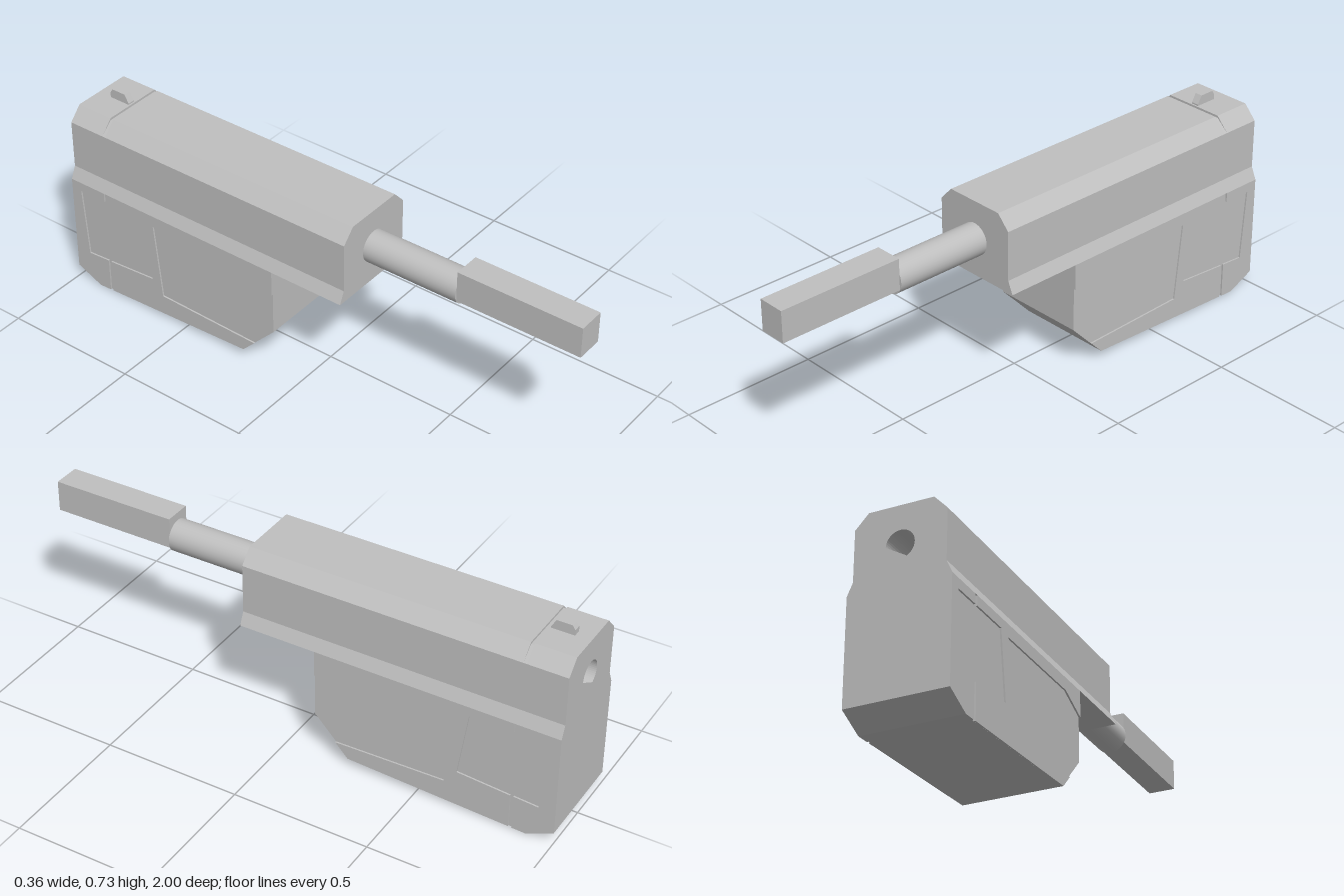
import * as THREE from 'three';

const grey = new THREE.MeshStandardMaterial({ color: 0xbfbfbf });
grey.name = 'plain grey';

const toShape = (pts) => new THREE.Shape(pts.map(([a, b]) => new THREE.Vector2(a, b)));

// Extrudes an (x, y) outline from z0 to z1
function alongZ(shape, z0, z1) {
  const g = new THREE.ExtrudeGeometry(shape, { depth: z1 - z0, bevelEnabled: false, curveSegments: 24 });
  return g.translate(0, 0, z0);
}

// Extrudes a (z, y) outline from x0 to x1
function alongX(shape, x0, x1) {
  const g = new THREE.ExtrudeGeometry(shape, { depth: x1 - x0, bevelEnabled: false });
  return g.rotateY(-Math.PI / 2).translate(x1, 0, 0);
}

// Symmetric cross-section of the upper housing
function upperProfile(top) {
  const half = [[0.18, 0.42], [0.16, 0.465], [0.16, 0.645], [0.113, top]];
  return toShape([...half, ...half.map(([x, y]) => [-x, y]).reverse()]);
}

export function createModel() {
  const model = new THREE.Group();
  model.name = 'model';
  const add = (name, geometry) => {
    const mesh = new THREE.Mesh(geometry, grey);
    mesh.name = name;
    model.add(mesh);
    return mesh;
  };

  // Upper housing, with a shallow seam across the top before the rear cap
  add('upperHousing', alongZ(upperProfile(0.695), -0.845, 0.175));
  add('topSeam', alongZ(upperProfile(0.687), -0.857, -0.845));
  const cap = upperProfile(0.695);
  for (const [x, y, r] of [[0, 0.558, 0.05], [0.052, 0.442, 0.014], [-0.052, 0.442, 0.014]]) {
    cap.holes.push(new THREE.Path().absarc(x, y, r, 0, Math.PI * 2, true));
  }
  add('rearCap', alongZ(cap, -1, -0.857));

  // Lower housing core; its sides show as the recessed panels
  add('lowerHousing', alongX(toShape([
    [-0.11, 0.42], [-0.11, 0.165], [-0.24, 0.03], [-0.9, 0], [-1, 0.045], [-1, 0.42],
  ]), -0.174, 0.174));

  // Raised side skins around the panels, split by a vertical seam
  const frontSkin = toShape([
    [-0.11, 0.42], [-0.11, 0.325], [-0.22, 0.375], [-0.63, 0.375], [-0.6, 0.09], [-0.192, 0.08],
    [-0.24, 0.03], [-0.839, 0.003], [-0.839, 0.131], [-0.645, 0.145], [-0.68, 0.385],
    [-0.839, 0.385], [-0.839, 0.42],
  ]);
  const rearSkin = toShape([
    [-0.851, 0.42], [-0.851, 0.385], [-0.96, 0.385], [-0.94, 0.125], [-0.851, 0.131],
    [-0.851, 0.002], [-0.9, 0], [-1, 0.045], [-1, 0.42],
  ]);
  for (const [side, x0, x1] of [['left', 0.174, 0.18], ['right', -0.18, -0.174]]) {
    add(side + 'FrontSkin', alongX(frontSkin, x0, x1));
    add(side + 'RearSkin', alongX(rearSkin, x0, x1));
  }

  // Round rod and square bar at the front
  const rod = add('rod', new THREE.CylinderGeometry(0.058, 0.058, 0.37, 32).rotateX(Math.PI / 2));
  rod.position.set(0, 0.556, 0.352);
  const bar = add('squareBar', new THREE.BoxGeometry(0.1, 0.114, 0.463));
  bar.position.set(0, 0.586, 0.7685);

  // Small tapered stud on top at the rear
  add('topStud', alongX(toShape([
    [-0.863, 0.69], [-0.863, 0.7], [-0.88, 0.73], [-0.935, 0.73], [-0.945, 0.715], [-0.945, 0.69],
  ]), -0.014, 0.014));

  return model;
}
